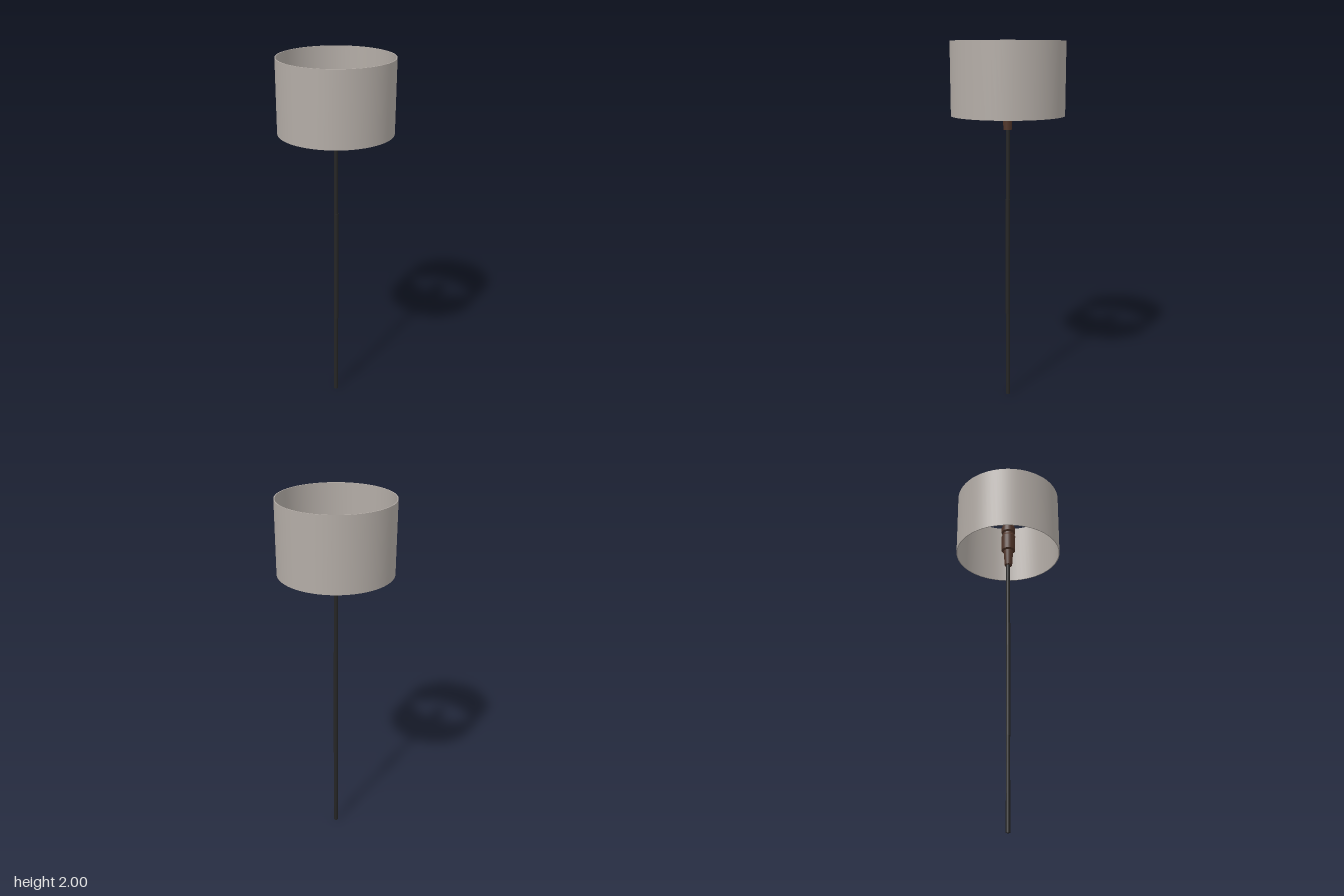
import * as THREE from 'three';

// Lathe from [radius, y] pairs; each segment gets its own crisp edge
function turned(points, segments) {
  const pts = [];
  points.forEach(([r, y], i) => {
    pts.push(new THREE.Vector2(r, y));
    if (i > 0 && i < points.length - 1) pts.push(new THREE.Vector2(r, y));
  });
  return new THREE.LatheGeometry(pts, segments);
}

export function createModel() {
  const group = new THREE.Group();
  const fabric = new THREE.MeshStandardMaterial({ color: 0xb3aca6, side: THREE.DoubleSide });
  const blackMetal = new THREE.MeshStandardMaterial({ color: 0x252525 });
  const brown = new THREE.MeshStandardMaterial({ color: 0x52362a });

  const add = (name, geometry, material, x = 0, y = 0, z = 0) => {
    const mesh = new THREE.Mesh(geometry, material);
    mesh.name = name;
    mesh.position.set(x, y, z);
    group.add(mesh);
  };

  // Open drum shade with a thin wall
  add('shade', turned([
    [0.298, 1.615], [0.303, 1.615], [0.303, 2], [0.298, 2], [0.298, 1.615],
  ], 72), fabric);

  // Slim pole, slightly thicker along its middle sleeve
  add('pole', new THREE.CylinderGeometry(0.0115, 0.0115, 1.56, 16), blackMetal, 0, 0.78, 0);
  add('poleSleeve', new THREE.CylinderGeometry(0.013, 0.013, 0.66, 16), blackMetal, 0.002, 0.83, 0);

  // Stepped bulb holder: flared cup, wide body, groove and cap
  add('bulbHolder', turned([
    [0, 1.54], [0.022, 1.54], [0.028, 1.635], [0.04, 1.64], [0.041, 1.735],
    [0.034, 1.745], [0.034, 1.757], [0.041, 1.765], [0.041, 1.795], [0.034, 1.81], [0, 1.812],
  ], 24), brown, 0, 0, 0.003);

  return group;
}
